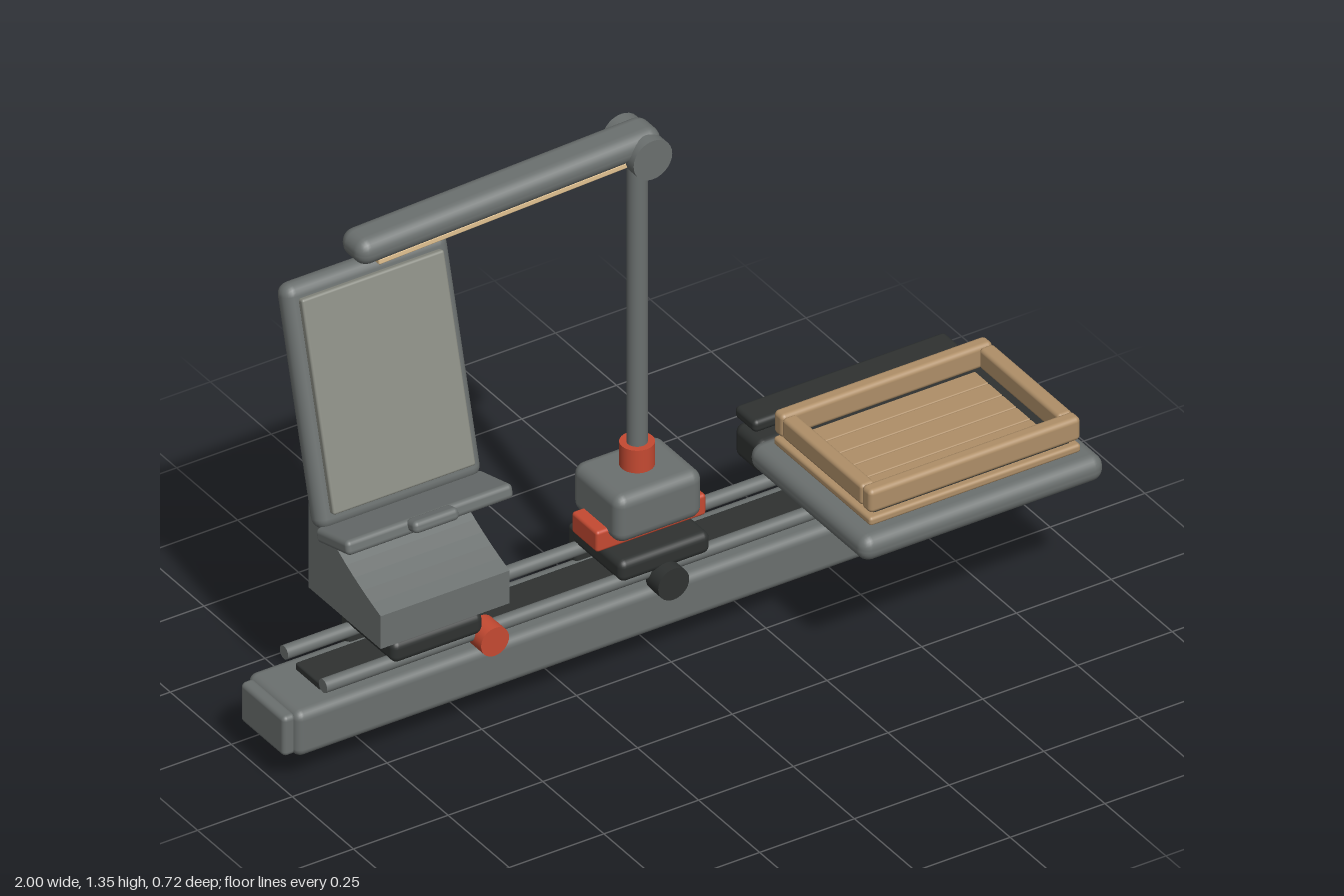
import * as THREE from 'three';
import { RoundedBoxGeometry } from 'three/addons/geometries/RoundedBoxGeometry.js';

const mat = (color) => new THREE.MeshStandardMaterial({ color });

export function createModel() {
  const model = new THREE.Group();
  const grey = mat(0x6b706f), dark = mat(0x2f3231), red = mat(0xc54a32);
  const wood = mat(0xaf8f68), cream = mat(0xe3c392), screenGrey = mat(0x8a8c83);

  const add = (name, geometry, material, pos, parent = model) => {
    const mesh = new THREE.Mesh(geometry, material);
    mesh.name = name;
    mesh.position.set(...pos);
    parent.add(mesh);
    return mesh;
  };
  // Rounded block given by its [min, max] range on each axis
  const block = (name, material, x, y, z, r = 0.01, parent = model) => {
    const size = [x, y, z].map(([a, b]) => b - a);
    const radius = Math.min(r, Math.min(...size) / 2.01);
    return add(name, new RoundedBoxGeometry(...size, 3, radius), material,
      [x, y, z].map(([a, b]) => (a + b) / 2), parent);
  };
  // Cylinder along the chosen axis
  const rod = (name, material, axis, r, length, pos, parent = model) => {
    const g = new THREE.CylinderGeometry(r, r, length, 28);
    if (axis === 'x') g.rotateZ(Math.PI / 2);
    if (axis === 'z') g.rotateX(Math.PI / 2);
    return add(name, g, material, pos, parent);
  };

  // Main rail with end caps, rear counter bar, guide rods and centre strip
  block('rail', grey, [-0.975, 0.975], [0.075, 0.195], [-0.23, -0.02], 0.022);
  for (const s of [-1, 1]) {
    const x = [s * 0.965, s].sort((a, b) => a - b);
    block('railEndCap', grey, x, [0.082, 0.187], [-0.215, -0.035], 0.012);
  }
  block('rearBar', dark, [-0.875, 0.875], [0, 0.09], [-0.27, -0.21], 0.012);
  for (const z of [-0.045, -0.205]) rod('guideRod', grey, 'x', 0.017, 1.78, [0, 0.23, z]);
  block('centreStrip', dark, [-0.88, 0.88], [0.197, 0.217], [-0.175, -0.075], 0.005);

  // Sliding carriages, each with a plate hanging behind the rail
  for (const x of [-0.6, 0]) {
    block('carriage', dark, [x - 0.12, x + 0.12], [0.235, 0.291], [-0.23, -0.02], 0.018);
    block('carriageBackPlate', dark, [x - 0.12, x + 0.12], [0.14, 0.28], [-0.24, -0.205], 0.01);
  }

  // Clamp knobs on the front
  rod('leftClampKnob', red, 'z', 0.037, 0.06, [-0.465, 0.22, -0.03]);
  rod('centreClampKnob', dark, 'z', 0.041, 0.05, [0, 0.212, -0.015]);
  rod('frontDial', cream, 'z', 0.041, 0.06, [0.845, 0.232, 0.02]);

  // Wedge stand: side profile in (-z, y), extruded along x
  const profile = new THREE.Shape();
  profile.moveTo(-0.005, 0.313);
  profile.lineTo(0.29, 0.313);
  profile.lineTo(0.29, 0.57);
  profile.quadraticCurveTo(0.19, 0.465, -0.005, 0.4);
  const wedge = new THREE.ExtrudeGeometry(profile, { depth: 0.34, bevelEnabled: false, curveSegments: 10 });
  wedge.rotateY(Math.PI / 2);
  add('wedgeStand', wedge, grey, [-0.77, 0, 0]);

  // Tilted display panel with its ledge
  const panel = new THREE.Group();
  panel.name = 'displayPanel';
  panel.position.set(-0.603, 0.822, -0.2625);
  panel.rotation.x = -0.256;
  model.add(panel);
  block('panelBody', grey, [-0.217, 0.217], [-0.295, 0.295], [-0.029, 0.029], 0.028, panel);
  block('screen', screenGrey, [-0.188, 0.188], [-0.255, 0.262], [0.026, 0.046], 0.006, panel);
  block('ledge', grey, [-0.22, 0.22], [-0.32, -0.284], [0.005, 0.142], 0.012, panel);
  block('ledgeLip', grey, [-0.06, 0.06], [-0.312, -0.282], [0.13, 0.172], 0.012, panel);

  // Lamp base, collar, mast and hinge
  block('lampBasePlate', red, [-0.145, 0.145], [0.295, 0.35], [-0.185, -0.08], 0.008);
  block('lampBase', grey, [-0.115, 0.115], [0.32, 0.445], [-0.235, -0.04], 0.028);
  rod('mastCollar', red, 'y', 0.04, 0.06, [0, 0.48, -0.14]);
  rod('mast', grey, 'y', 0.024, 0.8, [0, 0.88, -0.14]);
  rod('lampHinge', grey, 'z', 0.051, 0.13, [0, 1.293, -0.14]);

  // Lamp arm with a light strip beneath
  const arm = new THREE.Group();
  arm.name = 'lampArm';
  arm.position.set(-0.358, 1.304, -0.14);
  arm.rotation.z = 0.035;
  model.add(arm);
  block('armBody', grey, [-0.402, 0.402], [-0.034, 0.034], [-0.049, 0.049], 0.032, arm);
  block('lightStrip', cream, [-0.345, 0.335], [-0.046, -0.03], [-0.032, 0.032], 0.004, arm);

  // Tray clamp behind the tray
  block('trayClamp', dark, [0.32, 0.88], [0.3, 0.386], [-0.245, -0.135], 0.022);
  block('trayClampBar', dark, [0.32, 0.875], [0.403, 0.435], [-0.24, -0.155], 0.012);
  rod('trayClampKnob', red, 'x', 0.038, 0.06, [0.905, 0.345, -0.19]);

  // Tray: base slab, wooden board, dark liner, slats and frame
  block('trayBase', grey, [0.278, 0.92], [0.35, 0.416], [-0.123, 0.358], 0.03);
  block('trayBoard', wood, [0.32, 0.878], [0.42, 0.442], [-0.08, 0.318], 0.008);
  block('trayLiner', dark, [0.34, 0.858], [0.438, 0.456], [-0.065, 0.3], 0.004);
  for (let i = 0; i < 5; i++) {
    const z = -0.028 + i * 0.0572;
    block('traySlat', wood, [0.378, 0.82], [0.45, 0.464], [z, z + 0.0555], 0.003);
  }
  for (const z of [-0.08, 0.28])
    block('trayFrameLong', wood, [0.32, 0.878], [0.452, 0.513], [z, z + 0.038], 0.012);
  for (const x of [0.32, 0.84])
    block('trayFrameShort', wood, [x, x + 0.038], [0.455, 0.51], [-0.045, 0.283], 0.01);

  return model;
}
